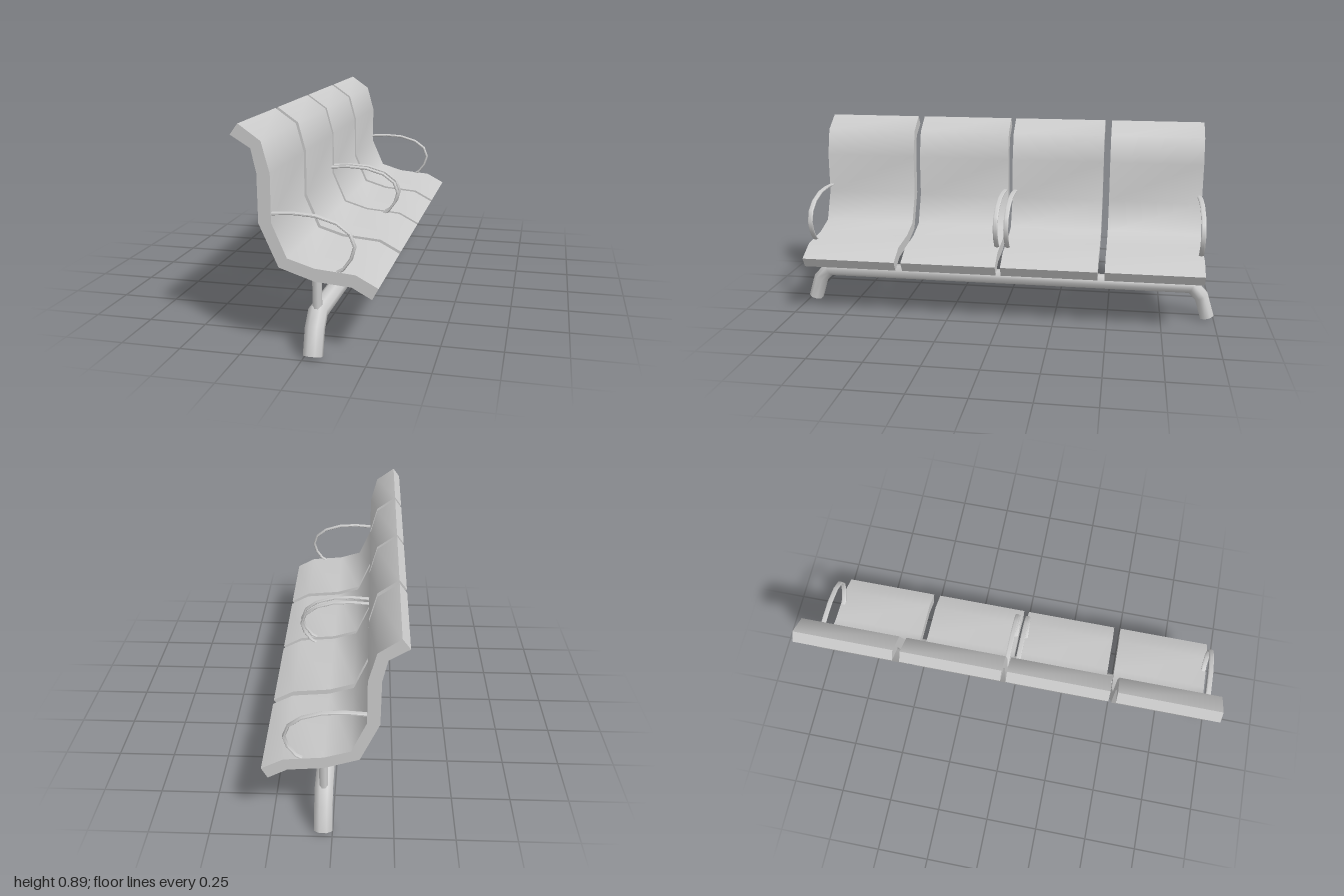
import * as THREE from 'three';
import { toCreasedNormals } from 'three/addons/utils/BufferGeometryUtils.js';

const material = new THREE.MeshStandardMaterial({ color: 0xcccccc });
const CREASE = 1.05;

// Sweeps an n-sided section along a mitred path in the xy plane.
// ra is the half-width in the plane, rb the half-width along z.
function sweep(path, ra, rb, n) {
  const pts = path.map(([x, y]) => new THREE.Vector2(x, y));
  const last = pts.length - 1;
  const dir = (i) => pts[i + 1].clone().sub(pts[i]).normalize();
  const k = 1 / Math.cos(Math.PI / n);
  const pos = [];
  const index = [];
  pts.forEach((p, i) => {
    const before = dir(Math.max(i - 1, 0));
    const t = before.clone().add(dir(Math.min(i, last - 1))).normalize();
    const miter = 1 / t.dot(before);
    for (let j = 0; j < n; j++) {
      const a = ((j + 0.5) / n) * Math.PI * 2;
      const r = Math.cos(a) * ra * k * miter;
      pos.push(p.x - t.y * r, p.y + t.x * r, Math.sin(a) * rb * k);
    }
  });
  for (let i = 0; i < last; i++) {
    for (let j = 0; j < n; j++) {
      const a = i * n + j;
      const b = i * n + ((j + 1) % n);
      index.push(a, b, b + n, a, b + n, a + n);
    }
  }
  // End caps
  for (let j = 1; j < n - 1; j++) {
    index.push(0, j + 1, j, last * n, last * n + j, last * n + j + 1);
  }
  const g = new THREE.BufferGeometry();
  g.setAttribute('position', new THREE.Float32BufferAttribute(pos, 3));
  g.setIndex(index);
  return toCreasedNormals(g, CREASE);
}

export function createModel() {
  const model = new THREE.Group();
  const add = (name, geometry, x = 0, y = 0, z = 0) => {
    const mesh = new THREE.Mesh(geometry, material);
    mesh.name = name;
    mesh.position.set(x, y, z);
    model.add(mesh);
  };

  // Seat shell: one curved profile for backrest and seat
  const profile = [
    [-0.255, 0.895], [-0.166, 0.832], [-0.133, 0.71], [-0.133, 0.52],
    [-0.073, 0.383], [0.035, 0.35], [0.195, 0.336], [0.284, 0.289],
    [0.259, 0.243], [0.18, 0.286], [0.035, 0.298], [-0.107, 0.344],
    [-0.184, 0.515], [-0.186, 0.71], [-0.207, 0.803], [-0.287, 0.852],
  ];
  const shape = new THREE.Shape(profile.map(([x, y]) => new THREE.Vector2(x, y)));
  const width = 0.443;
  const shell = toCreasedNormals(
    new THREE.ExtrudeGeometry(shape, { depth: width, bevelEnabled: false }), CREASE);
  for (const z of [-0.93, -0.455, 0.012, 0.487]) add('seatShell', shell, 0, 0, z);

  // Looped armrests, at both ends and as a pair in the middle
  const arm = sweep([
    [-0.14, 0.553], [-0.05, 0.559], [0.038, 0.554], [0.12, 0.53], [0.171, 0.492],
    [0.19, 0.443], [0.176, 0.395], [0.145, 0.352], [0.1, 0.325],
  ], 0.006, 0.011, 8);
  for (const z of [-0.918, -0.025, 0.025, 0.918]) add('armrest', arm, 0, 0, z);

  // Octagonal beam bending down into a foot at each end
  const foot = [[0.97, 0.012], [0.939, 0.112], [0.893, 0.162]];
  const beamPath = [...foot.map(([z, y]) => [-z, y]), ...foot.reverse()];
  const beam = sweep(beamPath, 0.032, 0.037, 8).rotateY(-Math.PI / 2);
  add('beamWithFeet', beam, 0.037);

  // Posts carrying the seats
  const post = new THREE.CylinderGeometry(0.019, 0.019, 0.16, 8);
  post.rotateY(Math.PI / 8);
  for (const side of [-1, 1]) add('post', post, 0.037, 0.235, side * 0.9);

  return model;
}
